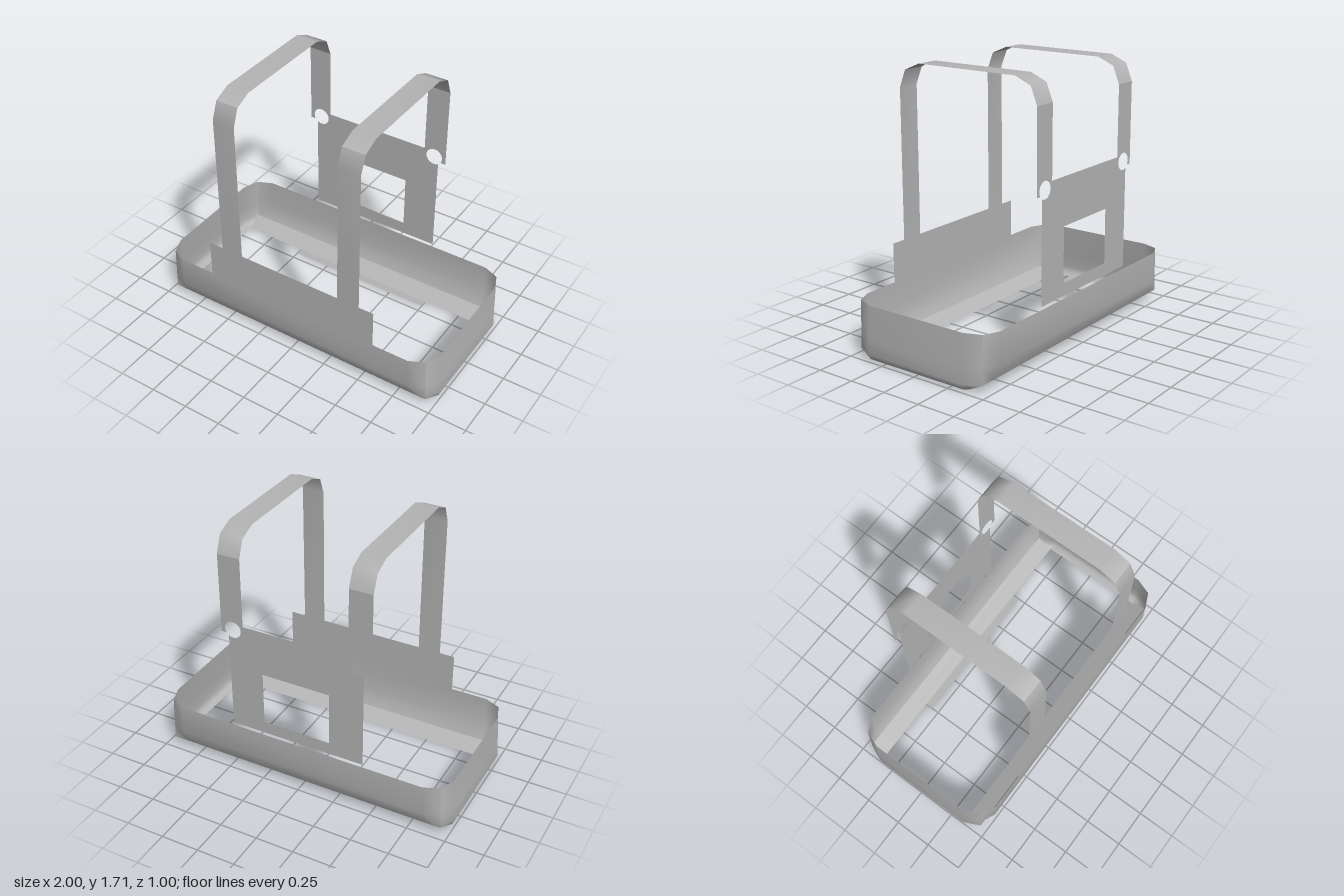
import * as THREE from 'three';

const paint = new THREE.MeshStandardMaterial({ color: 0xb4b4b4, side: THREE.DoubleSide });
paint.name = 'plain grey';

function add(group, name, geometry) {
  const mesh = new THREE.Mesh(geometry, paint);
  mesh.name = name;
  group.add(mesh);
  return mesh;
}

// Smooth sheet through rows of [x, y, z] points; rows run downwards, points left to right
function sheet(rows) {
  const n = rows[0].length, index = [];
  for (let r = 0; r < rows.length - 1; r++) {
    for (let c = 0; c < n - 1; c++) {
      const a = r * n + c, b = a + n;
      index.push(a, b, b + 1, a, b + 1, a + 1);
    }
  }
  const g = new THREE.BufferGeometry();
  g.setAttribute('position', new THREE.Float32BufferAttribute(rows.flat(2), 3));
  g.setIndex(index);
  g.computeVertexNormals();
  return g;
}

// Tub rings: height, then corner points [x, z]: long side, corner, short side
const RINGS = [
  [0.35, [0.84, 0.5], [0.94, 0.456], [0.98, 0.35]],
  [0.15, [0.85, 0.5], [0.947, 0.456], [0.993, 0.35]],
  [0.05, [0.85, 0.456], [0.95, 0.456], [1.0, 0.35]],
  [0.015, [0.85, 0.382], [0.95, 0.382], [0.985, 0.35]],
  [0.0, [0.85, 0.35], [0.95, 0.35], [0.95, 0.35]],
];

function buildTub() {
  const tub = new THREE.Group();
  tub.name = 'tub';
  const longRow = ([y, a, b]) => [[-b[0], y, b[1]], [-a[0], y, a[1]], [a[0], y, a[1]], [b[0], y, b[1]]];
  const endRow = ([y, , b, c]) => [[b[0], y, b[1]], [c[0], y, c[1]], [c[0], y, -c[1]], [b[0], y, -b[1]]];
  const wall = sheet(RINGS.slice(0, 3).map(longRow));
  const bevel = sheet(RINGS.slice(2).map(longRow));
  const end = sheet(RINGS.map(endRow));
  for (const [side, turn] of [['front', 0], ['back', Math.PI]]) {
    add(tub, side + 'Wall', wall).rotation.y = turn;
    add(tub, side + 'Bevel', bevel).rotation.y = turn;
  }
  add(tub, 'leftEnd', end);
  add(tub, 'rightEnd', end).rotation.y = Math.PI;
  // Narrow floor lip along the back
  add(tub, 'floorLip', sheet([-0.35, -0.3].map((z) => [[-0.5, 0, z], [0.5, 0, z]])));
  return tub;
}

// Back panel with the two strap ends, notched by round holes, and a window
function backGeometry() {
  const cx = 0.42, cy = 1.06, r = 0.055, from = -0.995, to = -0.576;
  const half = [[0.45, 0.37]];
  const steps = 20, sweep = 2 * Math.PI - (to - from);
  for (let i = 0; i <= steps; i++) {
    const t = from - (sweep * i) / steps;
    half.push([cx + r * Math.cos(t), cy + r * Math.sin(t)]);
  }
  half.push([0.5, 1.03], [0.5, 1.55], [0.35, 1.55], [0.35, 1.1]);
  const mirrored = half.map(([x, y]) => [-x, y]).reverse();
  const shape = new THREE.Shape([...half, ...mirrored].map(([x, y]) => new THREE.Vector2(x, y)));
  const w = 0.225;
  shape.holes.push(new THREE.Path([[-w, 0.45], [-w, 0.8], [w, 0.8], [w, 0.45]].map(([x, y]) => new THREE.Vector2(x, y))));
  const g = new THREE.ShapeGeometry(shape);
  g.rotateY(Math.PI);
  g.translate(0, 0, -0.5);
  return g;
}

export function createModel() {
  const model = new THREE.Group();
  model.name = 'carrier';
  model.add(buildTub());

  // Raised front apron
  add(model, 'frontApron', sheet([0.6, 0.35].map((y) => [[-0.6, y, 0.5], [0.6, y, 0.5]])));

  add(model, 'backPanel', backGeometry());

  // Two strap hoops over the tub
  const upright = [[0.456, 1.66], [0.5, 1.55], [0.5, 0.6]];
  const arch = [[-0.5, 1.55], [-0.456, 1.66], [-0.35, 1.705], [0.35, 1.705], [0.456, 1.66]];
  for (const [side, x] of [['left', 0.425], ['right', -0.425]]) {
    const strip = (path) => sheet(path.map(([z, y]) => [[x - 0.075, y, z], [x + 0.075, y, z]]));
    const strap = new THREE.Group();
    strap.name = side + 'Strap';
    add(strap, 'strapUpright', strip(upright));
    add(strap, 'strapArch', strip(arch));
    model.add(strap);
  }
  return model;
}
